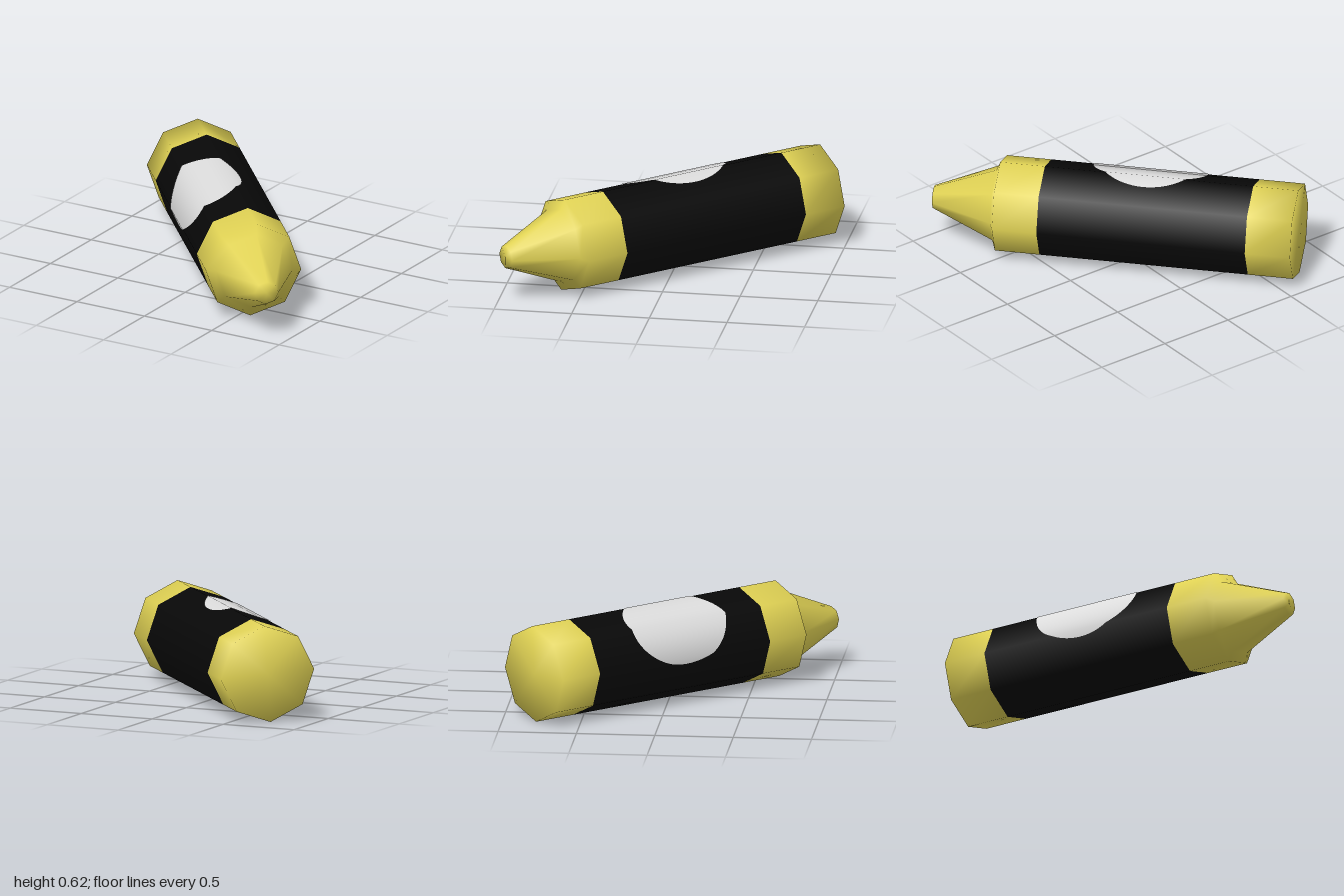
import * as THREE from 'three';

const R = 0.31;          // corner radius of the eight-sided body
const SIDES = 8;
const ROLL = -0.066;     // slight roll about the long axis
const SIDE = 2 * R * Math.sin(Math.PI / SIDES);

const yellow = new THREE.MeshStandardMaterial({ color: 0xe0d254 });
yellow.name = 'waxYellow';
const black = new THREE.MeshStandardMaterial({ color: 0x080808 });
black.name = 'wrapperBlack';
const white = new THREE.MeshStandardMaterial({ color: 0xdcdcdc });
white.name = 'labelWhite';

// Eight-sided smooth turned part from [radius, distance along axis] points
function turned(name, profile, material) {
  const points = profile.map(([r, t]) => new THREE.Vector2(r, t));
  const mesh = new THREE.Mesh(new THREE.LatheGeometry(points, SIDES, ROLL), material);
  mesh.name = name;
  return mesh;
}

// Point on the octagon; k counts corners and may be fractional
function octagonPoint(k, radius) {
  const i = Math.floor(k), f = k - i;
  const corner = (n) => {
    const a = ROLL + (n * Math.PI * 2) / SIDES;
    return new THREE.Vector3(radius * Math.sin(a), 0, radius * Math.cos(a));
  };
  return corner(i).lerp(corner(i + 1), f);
}

// Oval label that wraps over the octagon's corners
function ovalLabel() {
  const centreK = 5 - 0.02 / SIDE, halfK = 0.305 / SIDE;
  const centreT = 0.99, halfT = 0.37, steps = 48;
  const ks = [4, 5, 6];
  for (let i = 0; i <= steps; i++) ks.push(centreK - halfK * Math.cos((i / steps) * Math.PI));
  ks.sort((a, b) => a - b);

  const position = [], normal = [], index = [];
  ks.forEach((k, i) => {
    const p = octagonPoint(k, R + 0.004);
    const n = p.clone().normalize();
    const w = halfT * Math.sqrt(Math.max(0, 1 - ((k - centreK) / halfK) ** 2));
    for (const t of [centreT - w, centreT + w]) {
      position.push(p.x, t, p.z);
      normal.push(n.x, 0, n.z);
    }
    if (i > 0) {
      const a = 2 * (i - 1);
      index.push(a, a + 2, a + 1, a + 1, a + 2, a + 3);
    }
  });
  const geometry = new THREE.BufferGeometry();
  geometry.setAttribute('position', new THREE.Float32BufferAttribute(position, 3));
  geometry.setAttribute('normal', new THREE.Float32BufferAttribute(normal, 3));
  geometry.setIndex(index);
  const mesh = new THREE.Mesh(geometry, white);
  mesh.name = 'ovalLabel';
  return mesh;
}

export function createModel() {
  const crayon = new THREE.Group();
  crayon.name = 'crayon';
  crayon.add(
    turned('waxEnd', [[0, 0], [R, 0], [R, 0.292]], yellow),
    turned('paperWrapper', [[R, 0.292], [R, 1.639]], black),
    turned('waxTip', [[R, 1.639], [R, 1.927], [0.246, 1.952], [0.075, 2.359], [0, 2.359]], yellow),
    ovalLabel(),
  );

  // Lay the crayon down and turn it diagonally
  crayon.rotation.set(Math.PI / 2, 0.739, 0, 'YXZ');
  crayon.position.set(-0.715, 0.3095, -0.7975);

  const model = new THREE.Group();
  model.name = 'crayonModel';
  model.add(crayon);
  return model;
}
